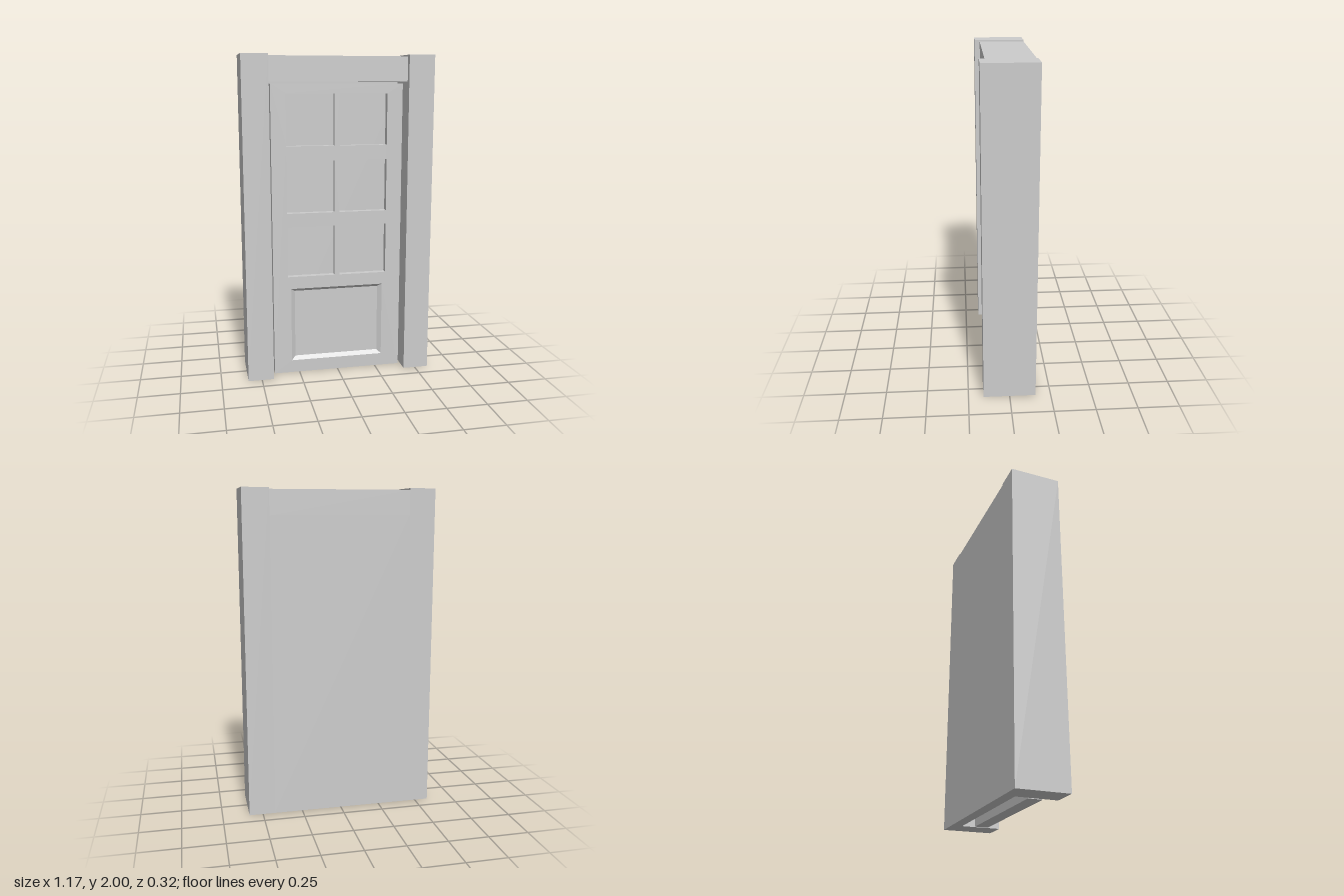
import * as THREE from 'three';

const material = new THREE.MeshStandardMaterial({ color: 0xcccccc, flatShading: true });

function addMesh(parent, name, geometry) {
  const mesh = new THREE.Mesh(geometry, material);
  mesh.name = name;
  parent.add(mesh);
  return mesh;
}

// Box given by its minimum and maximum on each axis
function addBox(parent, name, [x0, x1], [y0, y1], [z0, z1]) {
  const mesh = addMesh(parent, name, new THREE.BoxGeometry(x1 - x0, y1 - y0, z1 - z0));
  mesh.position.set((x0 + x1) / 2, (y0 + y1) / 2, (z0 + z1) / 2);
}

// Corners of a rectangle, counter-clockwise
const corners = ([x0, x1], [y0, y1]) => [[x0, y0], [x1, y0], [x1, y1], [x0, y1]];
const toPoints = (list) => list.map(([x, y]) => new THREE.Vector2(x, y));

// Sunken panel: four sloping sides around a flat floor
function sunkenPanel(outer, inner, zFront, zFloor) {
  const positions = [
    ...outer.flatMap(([x, y]) => [x, y, zFront]),
    ...inner.flatMap(([x, y]) => [x, y, zFloor]),
  ];
  const index = [4, 5, 6, 4, 6, 7];
  for (let k = 0; k < 4; k++) {
    const n = (k + 1) % 4;
    index.push(k, n, n + 4, k, n + 4, k + 4);
  }
  const indexed = new THREE.BufferGeometry();
  indexed.setAttribute('position', new THREE.Float32BufferAttribute(positions, 3));
  indexed.setIndex(index);
  const geometry = indexed.toNonIndexed();
  geometry.computeVertexNormals();
  return geometry;
}

export function createModel() {
  const model = new THREE.Group();
  model.name = 'framedDoor';
  const back = -0.158;
  const front = 0.158;

  // Frame: two posts, a lintel and a closed back
  const frame = new THREE.Group();
  frame.name = 'frame';
  model.add(frame);
  addBox(frame, 'leftPost', [0.425, 0.585], [0, 2], [back, front]);
  addBox(frame, 'rightPost', [-0.585, -0.425], [0, 2], [back, front]);
  addBox(frame, 'lintel', [-0.425, 0.425], [1.84, 1.99], [back, 0.125]);
  addBox(frame, 'backPanel', [-0.425, 0.425], [0, 1.84], [back, -0.09]);

  // Door leaf, set back between the posts with a narrow gap
  const door = new THREE.Group();
  door.name = 'door';
  model.add(door);
  const doorX = [-0.41, 0.41];
  const doorY = [0, 1.83];
  const doorFront = 0.075;
  const paneZ = 0.035;
  addBox(door, 'doorCore', doorX, doorY, [-0.01, paneZ]);

  // Front layer with six window openings and one panel opening
  const face = new THREE.Shape(toPoints(corners(doorX, doorY)));
  for (const rows of [[0.635, 0.955], [1.04, 1.365], [1.455, 1.77]]) {
    for (const columns of [[-0.317, -0.018], [0.014, 0.313]]) {
      face.holes.push(new THREE.Path(toPoints(corners(columns, rows))));
    }
  }
  const outer = corners([-0.298, 0.292], [0.08, 0.557]);
  const inner = corners([-0.273, 0.267], [0.103, 0.538]);
  face.holes.push(new THREE.Path(toPoints(outer)));
  const faceGeometry = new THREE.ExtrudeGeometry(face, { depth: doorFront - paneZ, bevelEnabled: false });
  faceGeometry.translate(0, 0, paneZ);
  addMesh(door, 'doorFace', faceGeometry);

  // Lower panel with sloping edges
  addMesh(door, 'lowerPanel', sunkenPanel(outer, inner, doorFront, doorFront - 0.02));

  return model;
}
